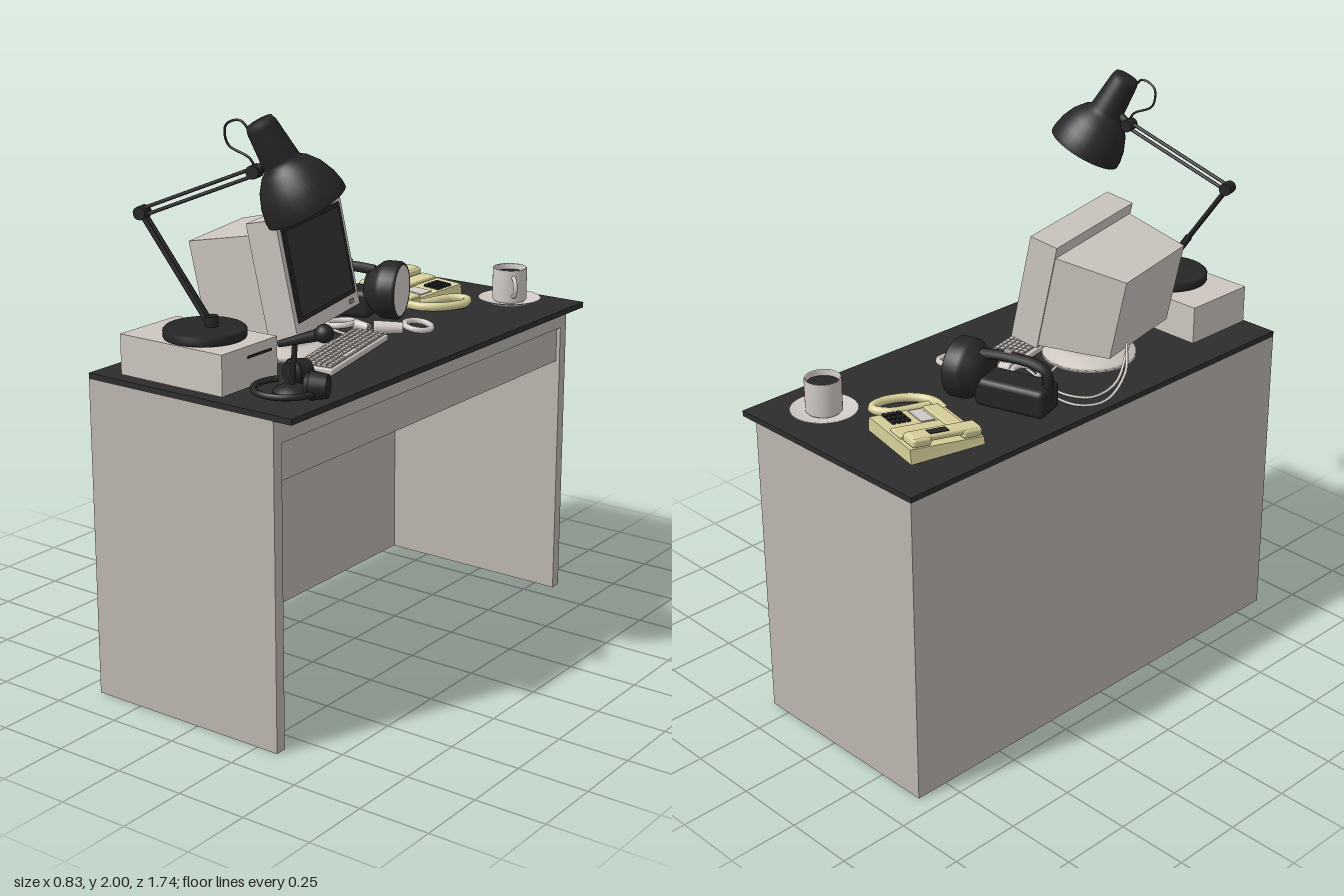
import * as THREE from 'three';
import { mergeGeometries } from 'three/addons/utils/BufferGeometryUtils.js';
import { RoundedBoxGeometry } from 'three/addons/geometries/RoundedBoxGeometry.js';

const V = (x, y, z) => new THREE.Vector3(x, y, z);
const paint = (name, color, side = THREE.FrontSide) => {
  const m = new THREE.MeshStandardMaterial({ color, side });
  m.name = name;
  return m;
};

export function createModel() {
  const desk = paint('warm grey laminate', 0xbbb6ae);
  const topBlack = paint('desk top black', 0x2d2d2d);
  const casing = paint('pale casing', 0xcdc6c0, THREE.DoubleSide);
  const black = paint('black', 0x262626, THREE.DoubleSide);
  const glass = paint('screen glass', 0x333333);
  const grey = paint('mid grey', 0x8f8a87);
  const inner = paint('lamp interior', 0xa8a29e);
  const cream = paint('phone cream', 0xd8d09a);
  const china = paint('china', 0xd2ccc8, THREE.DoubleSide);

  const root = new THREE.Group();
  const group = (name, x, y, z, ry = 0, rz = 0) => {
    const g = new THREE.Group();
    g.name = name;
    g.position.set(x, y, z);
    g.rotation.set(0, ry, rz);
    root.add(g);
    return g;
  };
  const add = (parent, name, geo, mat, x = 0, y = 0, z = 0) => {
    const m = new THREE.Mesh(geo, mat);
    m.name = name;
    m.position.set(x, y, z);
    parent.add(m);
    return m;
  };
  // box given by its extents
  const span = (p, name, mat, x0, x1, y0, y1, z0, z1) =>
    add(p, name, new THREE.BoxGeometry(x1 - x0, y1 - y0, z1 - z0), mat, (x0 + x1) / 2, (y0 + y1) / 2, (z0 + z1) / 2);
  const soft = (p, name, mat, w, h, d, r, x, y, z) =>
    add(p, name, new RoundedBoxGeometry(w, h, d, 2, r), mat, x, y, z);
  // straight cylinder between two points
  const rod = (p, name, mat, a, b, r0, r1 = r0, seg = 12) => {
    const d = b.clone().sub(a);
    const m = add(p, name, new THREE.CylinderGeometry(r1, r0, d.length(), seg), mat);
    m.position.copy(a).add(b).multiplyScalar(0.5);
    m.quaternion.setFromUnitVectors(V(0, 1, 0), d.normalize());
    return m;
  };
  const wire = (p, name, mat, pts, r, seg = 40) =>
    add(p, name, new THREE.TubeGeometry(new THREE.CatmullRomCurve3(pts.map(q => V(...q))), seg, r, 7), mat);
  const lathe = (pts, seg = 32) => new THREE.LatheGeometry(pts.map(q => new THREE.Vector2(...q)), seg);

  // ---- desk ----
  const d = group('desk', 0, 0, 0);
  span(d, 'deskTop', topBlack, -0.43, 0.4, 1.11, 1.13, -0.87, 0.87);
  for (const s of [-1, 1]) span(d, 'sidePanel', desk, -0.43, 0.33, 0, 1.11, s * 0.85 - 0.02, s * 0.85 + 0.02);
  span(d, 'backPanel', desk, -0.43, -0.41, 0, 1.11, -0.83, 0.83);
  span(d, 'topRail', desk, -0.41, 0.33, 1.03, 1.11, -0.83, 0.83);
  span(d, 'drawer', desk, -0.41, 0.315, 0.9, 1.03, -0.83, 0.83);

  // ---- box carrying the lamp ----
  const pc = group('driveBox', 0, 0, 0);
  span(pc, 'driveCase', casing, -0.31, 0.11, 1.14, 1.275, 0.57, 0.845);
  span(pc, 'driveFoot', grey, -0.29, 0.09, 1.13, 1.14, 0.59, 0.825);
  span(pc, 'driveSlot', black, 0.11, 0.113, 1.235, 1.243, 0.6, 0.72);

  // ---- desk lamp ----
  const lamp = group('deskLamp', 0, 0, 0);
  add(lamp, 'lampBase', lathe([[0, 0], [0.132, 0], [0.135, 0.005], [0.135, 0.026], [0.128, 0.033], [0, 0.036]]), black, -0.07, 1.276, 0.71);
  const foot = V(-0.05, 1.31, 0.7), elbow = V(-0.275, 1.66, 0.762), wrist = V(0.11, 1.82, 0.67);
  rod(lamp, 'lampPost', black, V(-0.05, 1.3, 0.7), V(-0.05, 1.345, 0.7), 0.022);
  for (const s of [-1, 1]) {
    const o = V(0.25, 0, 1).normalize().multiplyScalar(0.011 * s);
    rod(lamp, 'lowerArm', black, foot.clone().add(o), elbow.clone().add(o), 0.008, 0.008, 8);
    const lift = V(0, 0.012 * s, 0);
    rod(lamp, 'upperArm', black, elbow.clone().add(lift), wrist.clone().add(lift), 0.006, 0.006, 8);
  }
  rod(lamp, 'lampSpring', black, foot.clone().lerp(elbow, 0.08), foot.clone().lerp(elbow, 0.4), 0.013);
  for (const p of [elbow, wrist]) rod(lamp, 'lampJoint', black, p.clone().add(V(-0.005, 0, -0.022)), p.clone().add(V(0.005, 0, 0.022)), 0.022);
  const rim = V(0.255, 1.715, 0.598), cap = V(0.15, 1.985, 0.7);
  rod(lamp, 'shadeBracket', black, wrist, rim.clone().lerp(cap, 0.6), 0.014);
  const head = new THREE.Group();
  head.name = 'lampHead';
  head.position.copy(rim);
  head.quaternion.setFromUnitVectors(V(0, 1, 0), cap.clone().sub(rim).normalize());
  lamp.add(head);
  add(head, 'lampShade', lathe([[0.135, 0], [0.135, 0.02], [0.127, 0.06], [0.108, 0.105], [0.08, 0.142], [0.062, 0.155],
    [0.06, 0.17], [0.05, 0.285], [0.044, 0.303], [0, 0.308]], 40), black);
  add(head, 'shadeInterior', new THREE.CircleGeometry(0.131, 40), inner, 0, 0.003, 0).rotation.x = Math.PI / 2;
  wire(lamp, 'lampWire', black, [[0.12, 1.81, 0.67], [0.1, 1.86, 0.68], [0.03, 1.9, 0.7], [0.03, 1.96, 0.71], [0.09, 1.98, 0.71], [0.13, 1.93, 0.7]], 0.004);

  // ---- monitor: front top edge is the origin, +x faces the viewer ----
  const turn = 0.22;
  const mon = group('monitor', -0.005, 1.63, 0.255, turn, 0.2);
  span(mon, 'frontHousing', casing, -0.105, 0, -0.39, 0, -0.25, 0.25);
  const back = new THREE.BoxGeometry(0.25, 0.34, 0.49);
  const bp = back.attributes.position;
  for (let i = 0; i < bp.count; i++) if (bp.getX(i) < 0) {
    bp.setZ(i, bp.getZ(i) * 0.8);
    if (bp.getY(i) < 0) bp.setY(i, -0.125);
  }
  back.computeVertexNormals();
  add(mon, 'tubeHousing', back, casing, -0.23, -0.21, 0);
  span(mon, 'screenSurround', black, 0, 0.005, -0.345, -0.03, -0.225, 0.225);
  span(mon, 'screen', glass, 0.005, 0.008, -0.33, -0.045, -0.205, 0.205);
  span(mon, 'powerButton', grey, 0, 0.005, -0.375, -0.36, -0.2, -0.17);
  const stand = group('monitorStand', -0.09, 1.13, 0.27, turn);
  add(stand, 'standBase', lathe([[0, 0], [0.165, 0], [0.165, 0.015], [0.11, 0.03], [0.08, 0.045], [0.12, 0.09], [0.13, 0.12], [0, 0.13]]), casing);

  // ---- keyboard ----
  const kb = group('keyboard', 0.11, 1.13, 0.225, turn, -0.04);
  soft(kb, 'keyboardCase', casing, 0.14, 0.022, 0.47, 0.005, 0, 0.014, 0);
  span(kb, 'keyWell', grey, -0.055, 0.06, 0.025, 0.027, -0.22, 0.22);
  const keys = [];
  for (let r = 0; r < 6; r++) for (let c = 0; c < 20; c++) {
    if (r === 5 && c > 4 && c < 10) continue;
    keys.push(new THREE.BoxGeometry(0.015, 0.008, 0.018).translate(-0.046 + r * 0.0195, 0.03, 0.209 - c * 0.022));
  }
  keys.push(new THREE.BoxGeometry(0.015, 0.008, 0.105).translate(0.0515, 0.03, 0.055));
  add(kb, 'keys', mergeGeometries(keys), casing);

  // ---- cables behind the monitor ----
  const cables = group('cables', 0, 0, 0);
  wire(cables, 'monitorCable', casing, [[-0.33, 1.27, 0.2], [-0.39, 1.2, 0.13], [-0.4, 1.138, 0.03], [-0.36, 1.136, -0.06], [-0.24, 1.136, -0.07], [-0.12, 1.136, -0.01], [0.02, 1.136, 0.03]], 0.005);
  wire(cables, 'keyboardCable', casing, [[-0.32, 1.25, 0.22], [-0.36, 1.16, 0.12], [-0.35, 1.136, 0.02], [-0.29, 1.136, -0.03], [-0.2, 1.136, -0.03], [-0.13, 1.136, 0.03], [-0.08, 1.136, 0.15]], 0.005);

  // ---- handcuffs ----
  const cuffs = group('handcuffs', 0, 0, 0);
  const cuffSpots = [[-0.085, 1.155, -0.035, 0.1], [0.16, 1.16, -0.15, -0.15]];
  for (const [x, y, z, tilt] of cuffSpots) {
    const ring = add(cuffs, 'cuffRing', new THREE.TorusGeometry(0.047, 0.011, 8, 28), china, x, y, z);
    ring.rotation.set(Math.PI / 2, tilt, 0);
  }
  rod(cuffs, 'cuffLock', china, V(-0.035, 1.155, -0.05), V(0.02, 1.15, -0.055), 0.02, 0.015);
  rod(cuffs, 'cuffLock', china, V(0.125, 1.155, -0.11), V(0.04, 1.155, -0.055), 0.02, 0.025);
  for (let i = 0; i < 3; i++) add(cuffs, 'chainLink', new THREE.TorusGeometry(0.012, 0.004, 6, 12), grey, 0.02 + i * 0.016, 1.15, -0.05).rotation.x = i * 1.5;

  // ---- lantern torch ----
  const torch = group('torch', -0.17, 1.13, -0.225, 0.3);
  soft(torch, 'torchBody', black, 0.26, 0.1, 0.125, 0.02, -0.05, 0.055, 0);
  wire(torch, 'torchHandle', black, [[-0.165, 0.08, 0], [-0.16, 0.15, 0], [-0.12, 0.172, 0], [0, 0.178, 0], [0.08, 0.17, 0]], 0.019);
  const torchHead = add(torch, 'torchHead', lathe([[0, 0], [0.06, 0], [0.08, 0.03], [0.1, 0.055], [0.104, 0.07], [0.104, 0.115], [0.097, 0.125], [0.09, 0.125]]), black, 0.055, 0.104, 0);
  torchHead.rotation.z = -Math.PI / 2;
  const lens = add(torch, 'torchLens', new THREE.CylinderGeometry(0.092, 0.092, 0.006, 32), china, 0.177, 0.104, 0);
  lens.rotation.z = Math.PI / 2;
  soft(torch, 'torchSwitch', grey, 0.03, 0.012, 0.02, 0.004, -0.02, 0.198, 0);

  // ---- telephone ----
  const ph = group('telephone', -0.165, 1.13, -0.565, -0.22);
  const wedge = new THREE.BoxGeometry(0.285, 0.05, 0.27);
  const wp = wedge.attributes.position;
  for (let i = 0; i < wp.count; i++) if (wp.getY(i) > 0) {
    wp.setY(i, wp.getZ(i) > 0 ? 0 : 0.025);
    wp.setX(i, wp.getX(i) * 0.95);
  }
  wedge.computeVertexNormals();
  add(ph, 'phoneBody', wedge, cream, 0, 0.025, 0);
  const deck = new THREE.Group();
  deck.name = 'phoneDeck';
  deck.position.y = 0.039;
  deck.rotation.x = 0.092;
  ph.add(deck);
  soft(deck, 'handsetGrip', cream, 0.06, 0.022, 0.25, 0.009, -0.1, 0.022, 0.005);
  for (const z of [-0.09, 0.095]) soft(deck, 'handsetEnd', cream, 0.072, 0.03, 0.07, 0.01, -0.1, 0.014, z);
  soft(deck, 'middlePanel', cream, 0.07, 0.012, 0.18, 0.004, -0.022, 0.004, -0.035);
  soft(deck, 'frontStep', cream, 0.19, 0.012, 0.055, 0.004, 0.035, 0.002, 0.09);
  span(deck, 'numberCard', china, 0.03, 0.12, 0, 0.004, 0.0, 0.05);
  span(deck, 'handsetSlot', black, -0.12, -0.09, 0.032, 0.035, -0.055, 0.015);
  for (let r = 0; r < 4; r++) for (let c = 0; c < 3; c++)
    span(deck, 'phoneKey', black, 0.05 + c * 0.027, 0.071 + c * 0.027, 0, 0.008, -0.095 + r * 0.018, -0.082 + r * 0.018);
  wire(root, 'phoneCord', cream, [[-0.1, 1.15, -0.42], [-0.01, 1.15, -0.4], [0.06, 1.15, -0.44], [0.1, 1.15, -0.53], [0.075, 1.152, -0.585], [0.02, 1.152, -0.56], [-0.01, 1.15, -0.49], [-0.03, 1.15, -0.43]], 0.016, 60);

  // ---- cup and saucer ----
  const cup = group('cupAndSaucer', 0.19, 1.13, -0.695);
  add(cup, 'saucer', lathe([[0, 0], [0.06, 0], [0.085, 0.008], [0.115, 0.022], [0.112, 0.025], [0.07, 0.012], [0, 0.01]], 40), china);
  add(cup, 'mug', lathe([[0, 0.012], [0.055, 0.012], [0.062, 0.02], [0.062, 0.133], [0.06, 0.136], [0.056, 0.133], [0.056, 0.1]], 36), china);
  add(cup, 'coffee', new THREE.CircleGeometry(0.056, 32), black, 0, 0.115, 0).rotation.x = -Math.PI / 2;
  const handle = add(cup, 'mugHandle', new THREE.TorusGeometry(0.034, 0.008, 8, 20, Math.PI), china, 0.042, 0.075, 0.042);
  handle.rotation.set(0, -Math.PI / 4, -Math.PI / 2, 'YXZ');

  // ---- headphones and microphone ----
  const hp = group('headphones', 0, 0, 0);
  const band = add(hp, 'headband', new THREE.TorusGeometry(0.105, 0.011, 8, 30, Math.PI * 1.3), black, 0.25, 1.16, 0.7);
  band.rotation.set(Math.PI / 2, 0, -0.3);
  for (const [x, z, a] of [[0.355, 0.67, 0.4], [0.21, 0.58, 1.3]]) {
    const dir = V(Math.cos(a), 0, -Math.sin(a)).multiplyScalar(0.028);
    const c = V(x, 1.178, z);
    rod(hp, 'earCup', black, c.clone().sub(dir), c.clone().add(dir), 0.048, 0.038, 20);
    rod(hp, 'earPad', black, c.clone().addScaledVector(dir, -1.6), c.clone().sub(dir), 0.036, 0.044, 20);
  }
  const mic = group('microphone', 0, 0, 0);
  add(mic, 'micBase', lathe([[0, 0], [0.06, 0], [0.06, 0.012], [0.03, 0.025], [0, 0.028]], 24), black, 0.23, 1.13, 0.65);
  rod(mic, 'micStand', black, V(0.23, 1.14, 0.65), V(0.245, 1.3, 0.65), 0.009);
  rod(mic, 'micBody', black, V(0.19, 1.283, 0.66), V(0.34, 1.335, 0.648), 0.011, 0.02, 16);
  add(mic, 'micHead', new THREE.SphereGeometry(0.03, 18, 12), black, 0.355, 1.34, 0.646);

  return root;
}
